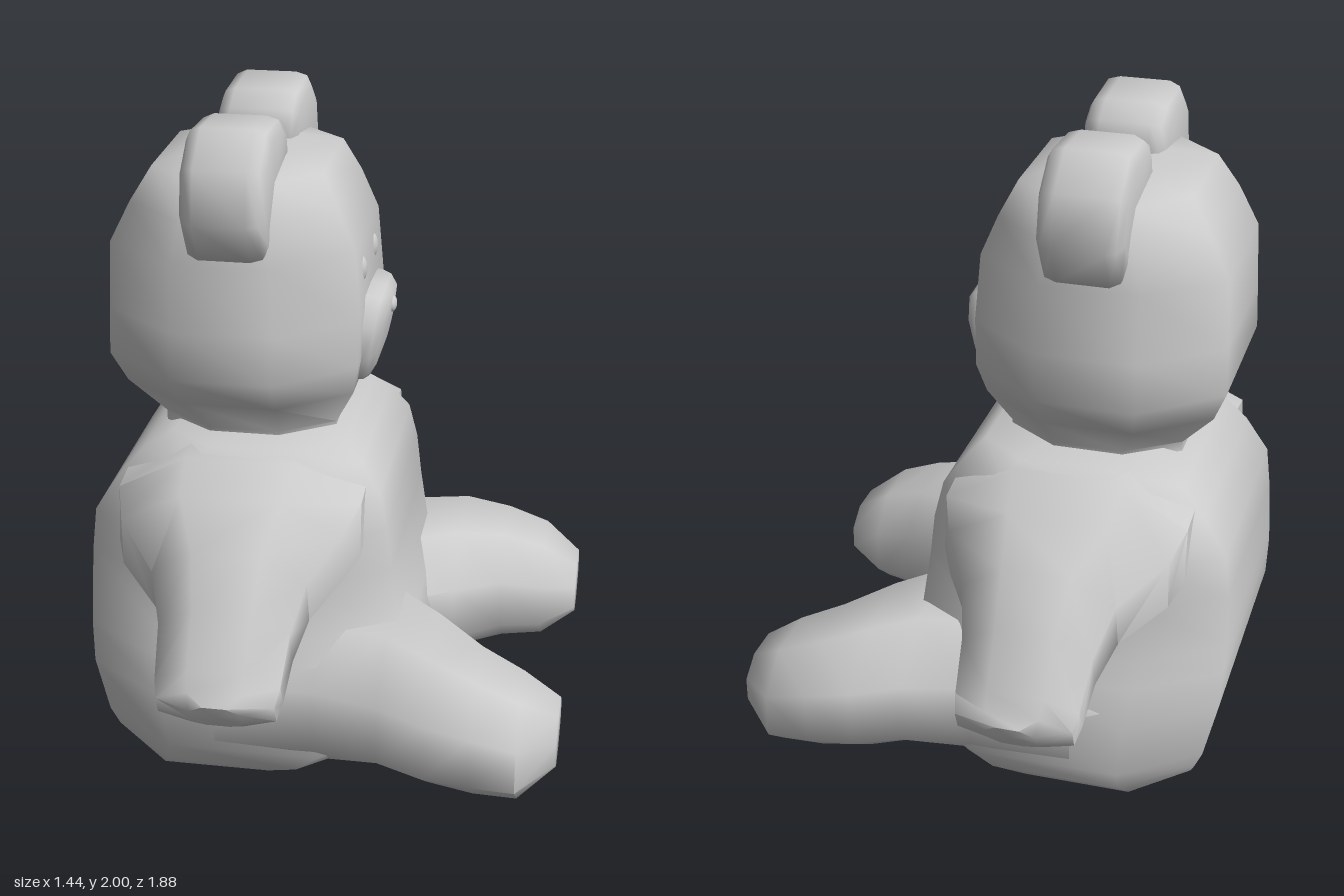
import * as THREE from 'three';
import { toCreasedNormals } from 'three/addons/utils/BufferGeometryUtils.js';

const material = new THREE.MeshStandardMaterial({ color: 0xcccccc });

// Chamfered rectangle between (a0,b0) and (a1,b1); ka, kb = share of each side left straight
function octagon(a0, a1, b0, b1, ka = 0.5, kb = 0.5) {
  const ca = (a0 + a1) / 2, cb = (b0 + b1) / 2, ha = (a1 - a0) / 2, hb = (b1 - b0) / 2;
  return [[1, -kb], [1, kb], [ka, 1], [-ka, 1], [-1, kb], [-1, -kb], [-ka, -1], [ka, -1]]
    .map(([u, v]) => [ca + u * ha, cb + v * hb]);
}

// Closed skin over equal-length rings of [x,y,z]; side = -1 mirrors in z
function loft(rings, side = 1, crease = 1.1) {
  const n = rings[0].length, pos = [], idx = [];
  rings.forEach(r => r.forEach(p => pos.push(p[0], p[1], p[2] * side)));
  for (let i = 0; i < rings.length - 1; i++)
    for (let j = 0; j < n; j++) {
      const a = i * n + j, b = i * n + (j + 1) % n;
      idx.push(a, b, b + n, a, b + n, a + n);
    }
  [0, rings.length - 1].forEach(i => {
    const c = [0, 1, 2].map(k => rings[i].reduce((s, p) => s + p[k], 0) / n);
    const ci = pos.length / 3;
    pos.push(c[0], c[1], c[2] * side);
    for (let j = 0; j < n; j++) {
      const a = i * n + j, b = i * n + (j + 1) % n;
      if (i) idx.push(a, b, ci); else idx.push(b, a, ci);
    }
  });
  // Turn all faces outward using the signed volume
  const v = i => new THREE.Vector3().fromArray(pos, i * 3);
  let volume = 0;
  for (let i = 0; i < idx.length; i += 3) volume += v(idx[i]).dot(v(idx[i + 1]).cross(v(idx[i + 2])));
  if (volume < 0) idx.reverse();
  const g = new THREE.BufferGeometry();
  g.setAttribute('position', new THREE.Float32BufferAttribute(pos, 3));
  g.setIndex(idx);
  return toCreasedNormals(g, crease);
}

// Rows of [y, xBack, xFront, halfWidth] become level octagons
const levels = (rows, kx, kz) => rows.map(([y, x0, x1, h]) =>
  octagon(x0, x1, -h, h, kx, kz).map(([x, z]) => [x, y, z]));

export function createModel() {
  const bear = new THREE.Group();
  bear.name = 'teddyBear';
  const add = (name, geometry) => {
    const m = new THREE.Mesh(geometry, material);
    m.name = name;
    bear.add(m);
    return m;
  };

  add('body', loft(levels([
    [0, -0.61, -0.15, 0.38], [0.05, -0.63, 0.01, 0.52], [0.09, -0.645, 0.14, 0.56],
    [0.15, -0.67, 0.24, 0.58], [0.32, -0.71, 0.28, 0.58], [0.44, -0.718, 0.25, 0.55],
    [0.52, -0.72, 0.22, 0.52], [0.68, -0.715, 0.2, 0.49], [0.81, -0.7, 0.185, 0.49],
    [0.92, -0.63, 0.16, 0.47], [1.0, -0.56, 0.1, 0.43], [1.05, -0.47, 0.05, 0.36]], 0.5, 0.7)));

  add('head', loft(levels([
    [1.03, -0.52, 0.0, 0.25], [1.06, -0.52, 0.0, 0.25], [1.18, -0.62, 0.06, 0.36],
    [1.28, -0.66, 0.08, 0.43], [1.42, -0.657, 0.085, 0.41], [1.62, -0.65, 0.07, 0.39],
    [1.74, -0.59, 0.02, 0.37], [1.84, -0.53, -0.03, 0.31], [1.87, -0.4, -0.14, 0.18]], 0.4, 0.57)));

  // Muzzle: shield outline, tilted so its top stands out furthest
  const shield = [[0.185, 1.38], [0.12, 1.455], [0, 1.46], [-0.12, 1.455], [-0.185, 1.38],
    [-0.18, 1.27], [-0.14, 1.2], [-0.07, 1.17], [0.07, 1.17], [0.14, 1.2], [0.18, 1.27]];
  add('muzzle', loft([[0.03, 1, 0], [0.085, 1, 0.1], [0.11, 0.92, 0.15], [0.13, 0.72, 0.2], [0.138, 0.35, 0.2]]
    .map(([x, k, tilt]) => shield.map(([z, y]) => {
      const dy = (y - 1.33) * k;
      return [x + dy * tilt, 1.33 + dy, z * k];
    })), 1, 1.4));

  const nose = add('nose', new THREE.SphereGeometry(1, 12, 8));
  nose.scale.set(0.015, 0.025, 0.03);
  nose.position.set(0.145, 1.392, 0);

  // Ear outline as [z, y]
  const earOutline = [[0.04, 1.87], [0.065, 1.95], [0.14, 1.99], [0.32, 2.0], [0.43, 1.91],
    [0.465, 1.76], [0.4, 1.64], [0.22, 1.66], [0.1, 1.75]];

  for (const side of [1, -1]) {
    const prefix = side > 0 ? 'left' : 'right';

    const eye = add(prefix + 'Eye', new THREE.SphereGeometry(1, 12, 8));
    eye.scale.set(0.02, 0.04, 0.031);
    eye.position.set(0.066, 1.535, side * 0.106);

    add(prefix + 'Ear', loft([[-0.395, 0.75], [-0.38, 0.93], [-0.35, 1], [-0.2, 1], [-0.165, 0.95], [-0.15, 0.8]]
      .map(([x, k]) => earOutline.map(([z, y]) => [x, 1.82 + (y - 1.82) * k, 0.255 + (z - 0.255) * k])), side, 1.4));

    // Arm sections: back x, front x, lower [z, y] and upper [z, y]
    add(prefix + 'Arm', loft([
      [-0.6, 0.12, 0.3, 0.7, 0.3, 1.045],
      [-0.6, 0.12, 0.46, 0.67, 0.41, 1.03],
      [-0.57, 0.08, 0.52, 0.64, 0.53, 0.965],
      [-0.45, 0.0, 0.6, 0.56, 0.68, 0.87],
      [-0.41, -0.03, 0.7, 0.5, 0.78, 0.74],
      [-0.4, -0.04, 0.8, 0.445, 0.88, 0.6],
      [-0.39, -0.05, 0.86, 0.425, 0.91, 0.55],
      [-0.29, -0.14, 0.885, 0.435, 0.94, 0.525]]
      .map(([x0, x1, zl, yl, zu, yu]) => octagon(x0, x1, 0, 1, 0.45, 0.45)
        .map(([x, t]) => [x, yl + (yu - yl) * t, zl + (zu - zl) * t])), side));

    // Leg sections: x, inner z, outer z, bottom, top
    add(prefix + 'Leg', loft([
      [-0.4, 0.08, 0.57, 0.05, 0.48], [0.0, 0.0, 0.61, 0.06, 0.53], [0.2, -0.02, 0.66, 0.08, 0.52],
      [0.34, 0.1, 0.715, 0.08, 0.5], [0.48, 0.23, 0.718, 0.08, 0.455],
      [0.61, 0.285, 0.705, 0.08, 0.405], [0.72, 0.345, 0.6, 0.165, 0.335]]
      .map(([x, z0, z1, y0, y1]) => octagon(z0, z1, y0, y1, 0.45, 0.42).map(([z, y]) => [x, y, z])), side));
  }
  return bear;
}
